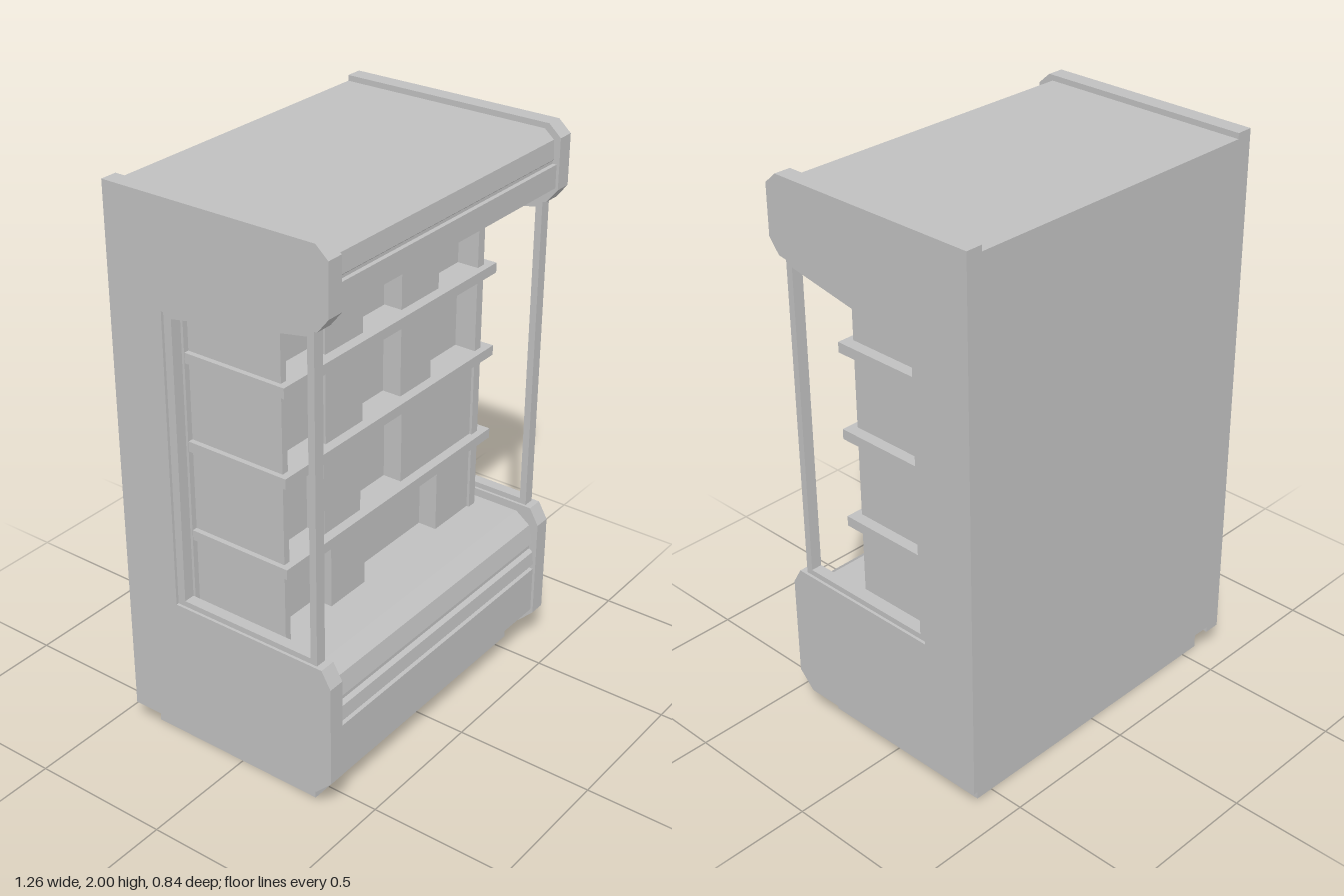
import * as THREE from 'three';

const paint = new THREE.MeshStandardMaterial({ color: 0xc0c0c0 });
paint.name = 'grey paint';

const toPoints = (list) => list.map(([z, y]) => new THREE.Vector2(z, y));

// Side profile given as [z, y] points, extruded from x0 to x1
function profile(name, outline, x0, x1, hole) {
  const shape = new THREE.Shape(toPoints(outline));
  if (hole) shape.holes.push(new THREE.Path(toPoints(hole)));
  const geometry = new THREE.ExtrudeGeometry(shape, { depth: x1 - x0, bevelEnabled: false });
  geometry.rotateY(-Math.PI / 2).translate(x1, 0, 0);
  const mesh = new THREE.Mesh(geometry, paint);
  mesh.name = name;
  return mesh;
}

// Box given by its limits on each axis
function block(name, x0, x1, y0, y1, z0, z1) {
  const mesh = new THREE.Mesh(new THREE.BoxGeometry(x1 - x0, y1 - y0, z1 - z0), paint);
  mesh.position.set((x0 + x1) / 2, (y0 + y1) / 2, (z0 + z1) / 2);
  mesh.name = name;
  return mesh;
}

export function createModel() {
  const model = new THREE.Group();
  model.name = 'openDisplayCabinet';

  // Plinth
  model.add(block('plinth', -0.57, 0.565, 0, 0.12, -0.37, 0.31));

  // Cabinet body: stepped lower front, deck, back wall, ceiling and canopy
  model.add(profile('cabinetBody', [
    [-0.42, 0.11], [0.365, 0.11], [0.41, 0.16], [0.41, 0.335], [0.395, 0.335], [0.395, 0.35],
    [0.41, 0.355], [0.405, 0.405], [0.39, 0.415], [0.39, 0.43], [0.4, 0.44], [0.385, 0.51],
    [0.33, 0.55], [-0.18, 0.55], [-0.18, 1.7], [0.18, 1.76], [0.37, 1.76], [0.41, 1.79],
    [0.41, 1.87], [0.395, 1.87], [0.395, 1.88], [0.4, 1.885], [0.395, 1.95], [0.36, 1.98], [-0.42, 1.98],
  ], -0.57, 0.57));

  // Side panels with a framed opening
  const panel = [
    [-0.42, 0.09], [0.36, 0.09], [0.42, 0.15], [0.42, 0.52], [0.385, 0.58], [-0.21, 0.58],
    [-0.21, 1.63], [0.38, 1.735], [0.42, 1.785], [0.42, 1.96], [0.375, 2], [-0.42, 2],
  ];
  const frameOuter = [[0.36, 0.58], [0.36, 1.73], [-0.21, 1.63], [-0.21, 0.58]];
  const frameInner = [[0.335, 0.6], [0.335, 1.705], [-0.18, 1.61], [-0.18, 0.6]];
  for (const side of [-1, 1]) {
    const mid = side * 0.6;
    model.add(profile('sidePanel', panel, mid - 0.03, mid + 0.03));
    model.add(profile('windowFrame', frameOuter, mid - 0.02, mid + 0.02, frameInner));
  }

  // Stocked goods: a recessed mass, end posts and raised stacks on each level
  model.add(block('goodsBacking', -0.55, 0.525, 0.55, 1.74, -0.18, 0.1));
  model.add(block('endPost', -0.55, -0.525, 0.55, 1.76, -0.18, 0.18));
  model.add(block('endPost', 0.49, 0.525, 0.55, 1.76, -0.18, 0.18));
  const levels = [
    { y0: 0.55, y1: 0.81, stacks: [[-0.3, -0.12], [0.295, 0.49]] },
    { y0: 0.845, y1: 1.135, stacks: [[-0.335, -0.145], [0.08, 0.49]] },
    { y0: 1.17, y1: 1.44, stacks: [[-0.325, -0.135], [0.07, 0.24]] },
    { y0: 1.48, y1: 1.76, stacks: [[-0.325, -0.135], [0.07, 0.275]] },
  ];
  for (const { y0, y1, stacks } of levels) {
    for (const [x0, x1] of stacks) model.add(block('goodsStack', x0, x1, y0, y1, 0.05, 0.17));
  }

  // Shelves, each with a tapered bracket at the left end
  for (const top of [0.845, 1.17, 1.478]) {
    model.add(block('shelf', -0.568, 0.565, top - 0.036, top, -0.18, 0.205));
    const y = top - 0.036;
    model.add(profile('shelfBracket',
      [[-0.18, y - 0.082], [0.045, y - 0.04], [0.045, y], [-0.18, y]], 0.523, 0.538));
  }
  return model;
}
